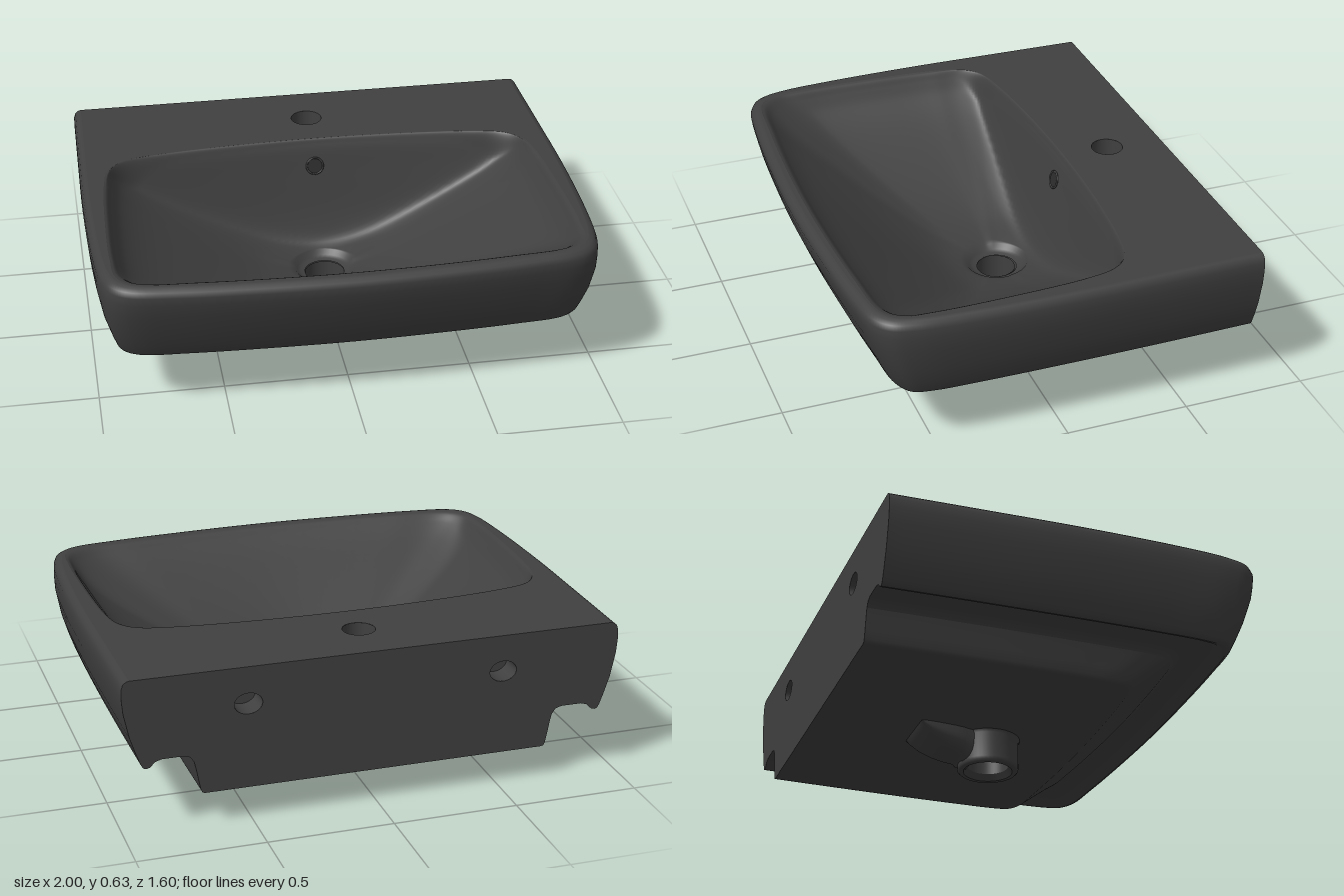
import * as THREE from 'three';

const ceramic = new THREE.MeshStandardMaterial({ color: 0x404040, side: THREE.DoubleSide });
ceramic.name = 'dark ceramic';
const shade = new THREE.MeshStandardMaterial({ color: 0x2c2c2c, side: THREE.DoubleSide });
shade.name = 'overflow dark';

const BACK = -0.8, TOP = 0.628;
const DRAIN_Z = -0.077, DRAIN_R = 0.083, SUMP_R = 0.13, SUMP_Y = 0.172;
const { lerp, clamp, smoothstep } = THREE.MathUtils;

// Smooth mirrored plan curve from right-half points [x, z]
function planCurve(half, closed, count) {
  const mirrored = half.filter(p => p[0] > 0).reverse().map(p => [-p[0], p[1]]);
  const pts = [...half, ...mirrored].map(p => new THREE.Vector3(p[0], 0, p[1]));
  const out = new THREE.CatmullRomCurve3(pts, closed, 'centripetal').getPoints(count);
  if (closed) out.pop();
  return out;
}

// Smooth height profile from [distance, y] points
function profile(pts) {
  return new THREE.CatmullRomCurve3(
    pts.map(p => new THREE.Vector3(p[0], p[1], 0)), false, 'centripetal').getPoints(48);
}

// Height of a profile at a distance, held level past both ends
function heightAt(curve, distance) {
  const d = clamp(distance, curve[0].x, curve.at(-1).x);
  const i = Math.max(1, curve.findIndex(q => q.x >= d));
  const a = curve[i - 1], b = curve[i];
  return lerp(a.y, b.y, (d - a.x) / (b.x - a.x));
}

// Skin over a list of rings with equal point counts
function loft(rings, closed) {
  const n = rings[0].length, pos = [], idx = [];
  rings.forEach(r => r.forEach(p => pos.push(p.x, p.y, p.z)));
  for (let j = 0; j < rings.length - 1; j++) {
    for (let i = 0; i < (closed ? n : n - 1); i++) {
      const a = j * n + i, b = j * n + (i + 1) % n;
      idx.push(a, b, a + n, b, b + n, a + n);
    }
  }
  const g = new THREE.BufferGeometry();
  g.setAttribute('position', new THREE.Float32BufferAttribute(pos, 3));
  g.setIndex(idx);
  g.computeVertexNormals();
  return g;
}

function ellipse(cx, cy, rx, ry = rx) {
  return new THREE.Path().absellipse(cx, cy, rx, ry, 0, Math.PI * 2, true);
}

// Horizontal plate through plan points, facing up or down
function plate(points, y, up, holes) {
  const s = up ? -1 : 1;
  const shape = new THREE.Shape(points.map(p => new THREE.Vector2(p.x, s * p.z)));
  shape.holes.push(...holes(s));
  const g = new THREE.ShapeGeometry(shape, 32);
  g.rotateX(s * Math.PI / 2);
  return g.translate(0, y, 0);
}

// Blind hole opening towards +y
function blindHole(r, depth) {
  const p = [[r, 0], [r, -depth], [r, -depth], [0, -depth]].map(q => new THREE.Vector2(...q));
  return new THREE.LatheGeometry(p, 32);
}

export function createModel() {
  const group = new THREE.Group();
  const add = (name, geometry, material = ceramic) => {
    const mesh = new THREE.Mesh(geometry, material);
    mesh.name = name;
    group.add(mesh);
    return mesh;
  };

  // Outer plans, open along the straight back: soft at the rim, squarer below
  const rimPlan = planCurve([
    [0.99, -0.8], [0.996, -0.4], [1, 0], [0.989, 0.4], [0.97, 0.6],
    [0.941, 0.685], [0.877, 0.735], [0.7, 0.765], [0.35, 0.79], [0, 0.8],
  ], false, 120);
  const basePlan = planCurve([
    [0.99, -0.8], [0.997, -0.4], [1, 0], [0.997, 0.4], [0.988, 0.63],
    [0.968, 0.71], [0.9, 0.755], [0.7, 0.776], [0.35, 0.793], [0, 0.8],
  ], false, 120);
  const ringAt = ([y, w, front]) => rimPlan.map((p, i) => {
    const q = p.clone().lerp(basePlan[i], clamp((0.58 - y) / 0.3, 0, 1));
    return new THREE.Vector3(q.x * w, y, BACK + (q.z - BACK) * (front - BACK) / 1.6);
  });

  // Outer wall: height, width factor, front depth
  const wall = [
    [TOP, 0.968, 0.765], [0.625, 0.98, 0.78], [0.615, 0.992, 0.793], [0.595, 0.999, 0.8],
    [0.56, 1, 0.794], [0.5, 0.995, 0.778], [0.4, 0.974, 0.738], [0.33, 0.951, 0.705],
    [0.285, 0.934, 0.682], [0.272, 0.926, 0.673], [0.268, 0.915, 0.663],
  ];
  // Shallow groove behind the lip, then the lower bowl body
  const under = [
    [0.268, 0.915, 0.663], [0.272, 0.9, 0.648], [0.292, 0.88, 0.63], [0.3, 0.855, 0.61],
    [0.3, 0.77, 0.54], [0.292, 0.745, 0.52], [0.27, 0.73, 0.5],
  ];
  const bowl = [
    [0.27, 0.73, 0.5], [0.235, 0.722, 0.45], [0.19, 0.714, 0.39],
    [0.152, 0.706, 0.34], [0.14, 0.7, 0.325], [0.137, 0.69, 0.31],
  ];
  add('outerWall', loft(wall.map(ringAt), false));
  add('undersideGroove', loft(under.map(ringAt), false));
  add('lowerBowl', loft(bowl.map(ringAt), false));
  add('bowlBottom', plate(ringAt(bowl.at(-1)), 0.137, false, s => [ellipse(0, s * DRAIN_Z, 0.1)]));

  // Flat back with two oval mounting holes
  const side = [...wall, ...under.slice(1), ...bowl.slice(1)].map(([y, w]) => [0.99 * w, y]);
  const backShape = new THREE.Shape([
    ...side, ...side.slice().reverse().map(([x, y]) => [-x, y]),
  ].map(p => new THREE.Vector2(...p)));
  [-0.51, 0.51].forEach(x => {
    backShape.holes.push(ellipse(x, 0.48, 0.055, 0.042));
    const hole = add('mountingHole', blindHole(0.055, 0.1));
    hole.rotation.x = -Math.PI / 2;
    hole.scale.z = 0.042 / 0.055;
    hole.position.set(x, 0.48, BACK);
  });
  const back = new THREE.ShapeGeometry(backShape, 32);
  back.rotateY(Math.PI);
  add('backWall', back.translate(0, 0, BACK));

  // Top deck with basin opening and tap hole
  const opening = planCurve([
    [0, -0.375], [0.4, -0.365], [0.7, -0.335], [0.82, -0.3], [0.88, -0.23], [0.905, -0.1],
    [0.922, 0.2], [0.924, 0.5], [0.91, 0.63], [0.855, 0.69], [0.6, 0.722], [0, 0.745],
  ], true, 160);
  add('topDeck', plate(ringAt(wall[0]), TOP, true, s => [
    new THREE.Path(opening.map(p => new THREE.Vector2(p.x, s * p.z))),
    ellipse(0, s * -0.565, 0.065),
  ]));
  add('tapHole', blindHole(0.065, 0.1)).position.set(0, TOP, -0.565);

  // Basin: side and front slopes run to the sump, a steep wall cuts the back
  const sideSlope = profile([[0, TOP], [0.015, 0.621], [0.04, 0.592], [0.09, 0.54],
    [0.2, 0.47], [0.5, 0.335], [0.8, 0.222], [1, SUMP_Y]]);
  const frontSlope = profile([[0, TOP], [0.02, 0.621], [0.06, 0.59], [0.13, 0.545],
    [0.3, 0.455], [0.6, 0.31], [0.85, 0.208], [1, SUMP_Y]]);
  const backSlope = profile([[0, TOP], [0.008, 0.621], [0.022, 0.59], [0.05, 0.48],
    [0.09, 0.32], [0.125, 0.2], [0.17, 0.05]]);
  const drainRing = (r, y) => opening.map(p => {
    const a = Math.atan2(p.z - DRAIN_Z, p.x);
    return new THREE.Vector3(Math.cos(a) * r, y, DRAIN_Z + Math.sin(a) * r);
  });
  const sump = drainRing(SUMP_R, SUMP_Y);
  const basin = sideSlope.map(({ x: t }) => opening.map((p, i) => {
    const v = p.clone().lerp(sump[i], t);
    const slope = lerp(heightAt(sideSlope, t), heightAt(frontSlope, t), smoothstep(p.z, 0.5, 0.7));
    // Rounded junction of the bowed back wall with the floor
    const floor = heightAt(sideSlope, (0.91 - Math.hypot(v.x, v.z - DRAIN_Z)) / 0.78);
    const behind = v.z + 0.375 - 0.0816 * v.x * v.x;
    const rear = heightAt(backSlope, behind * smoothstep(t, -0.02, 0.1));
    const joined = (floor + rear + Math.hypot(floor - rear, 0.05)) / 2;
    v.y = lerp(slope, Math.min(TOP, joined), smoothstep(-p.z, 0.05, 0.3));
    if (t === 0) v.y = TOP;
    return v;
  }));
  basin.push(drainRing(0.115, 0.157), drainRing(0.1, 0.15), drainRing(DRAIN_R, 0.146));
  add('basin', loft(basin, true));

  // Overflow opening on the steep back of the basin
  const overflow = new THREE.Group();
  overflow.name = 'overflow';
  const disc = new THREE.Mesh(new THREE.CircleGeometry(0.035, 32), shade);
  disc.name = 'overflowOpening';
  const rim = new THREE.Mesh(new THREE.TorusGeometry(0.035, 0.004, 8, 32), ceramic);
  rim.name = 'overflowRim';
  overflow.add(disc, rim);
  overflow.position.set(0, 0.517, -0.328);
  overflow.rotation.x = -0.25;
  group.add(overflow);

  // Open drain outlet
  const drain = [[0.083, 0.147], [0.083, 0.025], [0.083, 0.025], [0.1, 0], [0.1, 0],
    [0.118, 0], [0.125, 0.007], [0.125, 0.02], [0.125, 0.125], [0.132, 0.138]];
  add('drainOutlet', new THREE.LatheGeometry(drain.map(p => new THREE.Vector2(...p)), 48))
    .position.z = DRAIN_Z + 0.007;

  // Rounded overflow channel blending into the outlet: z, half width, depth
  const channel = [
    [-0.39, 0.112, 0], [-0.375, 0.115, 0.028], [-0.34, 0.115, 0.06], [-0.29, 0.112, 0.085],
    [-0.24, 0.107, 0.1], [-0.2, 0.1, 0.107], [-0.19, 0.095, 0.122], [-0.157, 0.088, 0.13],
  ].map(([z, w, d]) => Array.from({ length: 25 }, (_, i) => {
    const a = Math.PI * i / 24, c = Math.cos(a);
    return new THREE.Vector3(
      Math.sign(c) * Math.abs(c) ** 0.6 * w, 0.138 - Math.abs(Math.sin(a)) ** 0.6 * d, z);
  }));
  add('overflowChannel', loft(channel, false));

  return group;
}
